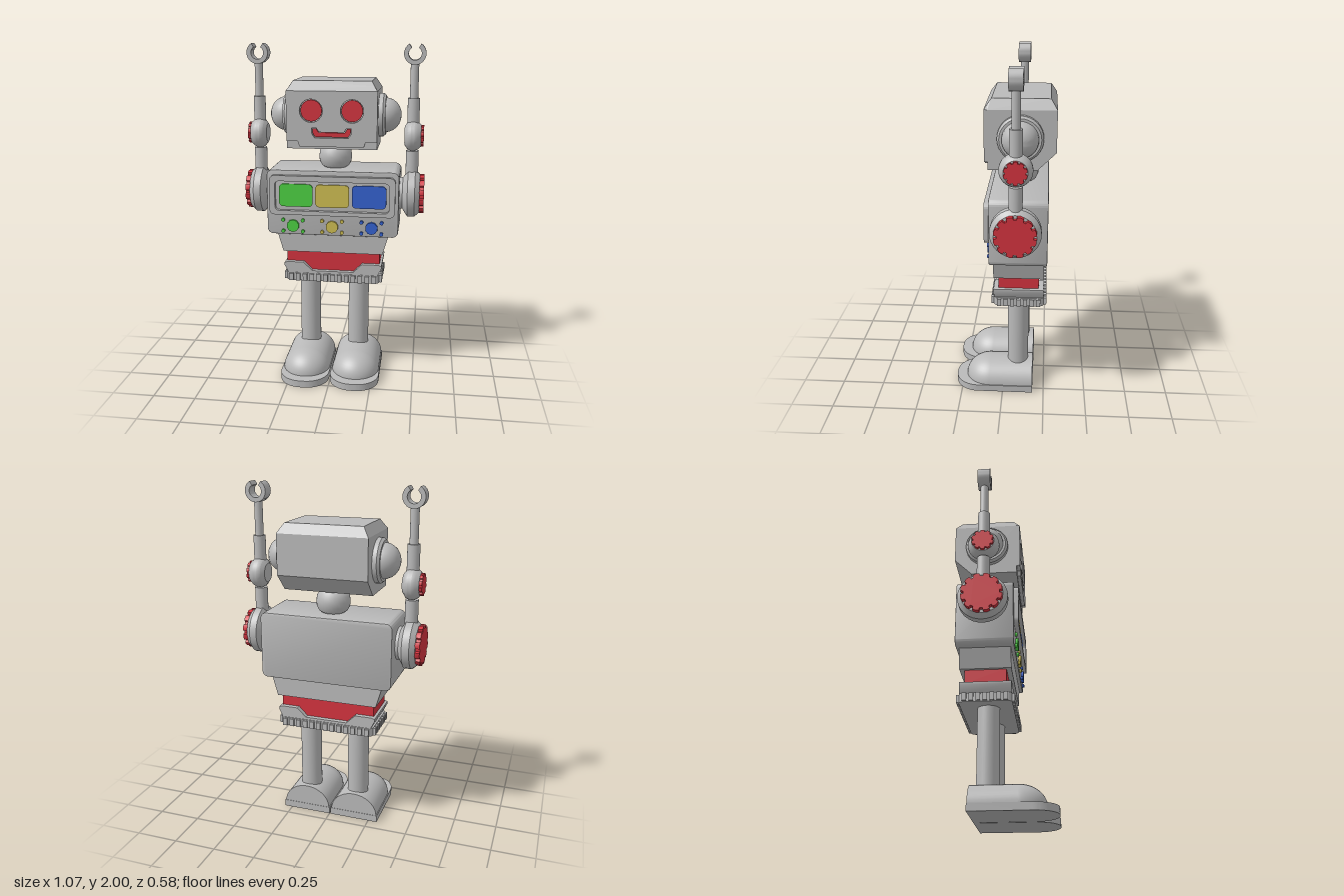
import * as THREE from 'three';
import { toCreasedNormals } from 'three/addons/utils/BufferGeometryUtils.js';
import { ConvexGeometry } from 'three/addons/geometries/ConvexGeometry.js';

const paint = (name, color) => {
  const m = new THREE.MeshStandardMaterial({ color });
  m.name = name;
  return m;
};

export function createModel() {
  const grey = paint('grey', 0xbababa), red = paint('red', 0xd4343f), green = paint('green', 0x4dd243);
  const yellow = paint('yellow', 0xcfbe52), blue = paint('blue', 0x3562d0);
  const robot = new THREE.Group();
  robot.name = 'robot';

  const add = (parent, name, geometry, material, x = 0, y = 0, z = 0) => {
    const mesh = new THREE.Mesh(geometry, material);
    mesh.name = name;
    mesh.position.set(x, y, z);
    parent.add(mesh);
    return mesh;
  };
  const outline = pts => new THREE.Shape(pts.map(p => new THREE.Vector2(...p)));
  // Right half of a symmetric outline, mirrored to the other side
  const mirrored = half => outline([...half, ...half.map(([x, y]) => [-x, y]).reverse()]);
  const circle = (x, y, r) => new THREE.Shape().absarc(x, y, r, 0, Math.PI * 2);
  const roundRect = (x0, x1, y0, y1, r) => {
    const s = new THREE.Shape();
    s.absarc(x1 - r, y0 + r, r, -Math.PI / 2, 0);
    s.absarc(x1 - r, y1 - r, r, 0, Math.PI / 2);
    s.absarc(x0 + r, y1 - r, r, Math.PI / 2, Math.PI);
    s.absarc(x0 + r, y0 + r, r, Math.PI, Math.PI * 1.5);
    return s;
  };
  // Slab of a front outline between two depths, with an optional small bevel
  const slab = (shape, z0, z1, bevel = 0) => {
    const g = new THREE.ExtrudeGeometry(shape, {
      depth: z1 - z0 - 2 * bevel, curveSegments: 12, bevelEnabled: bevel > 0,
      bevelThickness: bevel, bevelSize: bevel, bevelOffset: -bevel, bevelSegments: 2,
    });
    g.translate(0, 0, z0 + bevel);
    return toCreasedNormals(g, 0.6);
  };
  const turned = (pts, segments = 32) =>
    toCreasedNormals(new THREE.LatheGeometry(pts.map(p => new THREE.Vector2(...p)), segments), 0.5);
  const turnedX = pts => turned(pts).rotateZ(-Math.PI / 2);
  // Convex block from [halfWidth, y, z] rows
  const hull = rows => new ConvexGeometry(rows.flatMap(([x, y, z]) =>
    [new THREE.Vector3(x, y, z), new THREE.Vector3(-x, y, z)]));

  // Head: bevelled block with a face plate cut open for eyes and mouth
  const head = new THREE.Group();
  head.name = 'head';
  robot.add(head);
  add(head, 'headBlock', hull([
    [0.225, 1.8, 0.06], [0.225, 1.8, -0.257], [0.24, 1.7725, 0.08], [0.26, 1.745, 0.08],
    [0.26, 1.745, -0.292], [0.26, 1.515, -0.292], [0.26, 1.415, -0.19], [0.26, 1.415, 0.08],
  ]), grey);
  add(head, 'brow', hull([[0.24, 1.7725, 0.08], [0.26, 1.745, 0.08], [0.26, 1.745, 0.1]]), grey);
  const mouth = grow => mirrored([[0.075 - grow, 1.51 + grow], [0.09 - grow, 1.533 + grow],
    [0.11 + grow, 1.533 + grow], [0.108 + grow, 1.503], [0.092 + grow, 1.485 - grow]]);
  const face = mirrored([[0.185, 1.43], [0.195, 1.46], [0.26, 1.46], [0.26, 1.745]]);
  face.holes.push(circle(-0.117, 1.634, 0.066), circle(0.117, 1.634, 0.066), mouth(0.004));
  add(head, 'facePlate', slab(face, 0.08, 0.1), grey);
  add(head, 'mouth', slab(mouth(0), 0.08, 0.089), red);
  for (const s of [-1, 1]) {
    add(head, 'eye', slab(circle(s * 0.117, 1.634, 0.061), 0.08, 0.089), red);
    const ear = add(head, 'ear', turnedX([
      [0.126, 0], [0.126, 0.028], [0.114, 0.042], [0.1, 0.042], [0.098, 0.06], [0.088, 0.083],
      [0.072, 0.104], [0.05, 0.119], [0.026, 0.128], [0, 0.131]]), grey, s * 0.257, 1.595, -0.097);
    if (s < 0) ear.rotation.y = Math.PI;
  }
  add(robot, 'neck', turned([[0.055, 1.275], [0.082, 1.293], [0.096, 1.32], [0.098, 1.35],
    [0.094, 1.38], [0.08, 1.403], [0.055, 1.42]]), grey, 0, 0, -0.096);

  // Torso with framed display and control knobs
  const torso = new THREE.Group();
  torso.name = 'torso';
  robot.add(torso);
  add(torso, 'torsoBox', slab(roundRect(-0.39, 0.39, 0.893, 1.283, 0.035), -0.255, 0.07, 0.006), grey);
  const frame = roundRect(-0.37, 0.37, 1.02, 1.255, 0.03);
  frame.holes.push(roundRect(-0.337, 0.337, 1.045, 1.222, 0.025));
  add(torso, 'displayFrame', slab(frame, 0.07, 0.096), grey);
  [[-0.215, green], [0.001, yellow], [0.218, blue]].forEach(([x, colour], i) => {
    add(torso, 'displayPane', slab(roundRect(x - 0.1, x + 0.1, 1.067, 1.202, 0.025), 0.07, 0.079), colour);
    const kx = (i - 1) * 0.234;
    add(torso, 'knob', new THREE.CylinderGeometry(0.037, 0.037, 0.016, 10).rotateX(Math.PI / 2),
      colour, kx, 0.949, 0.078);
    for (const sx of [-1, 1]) for (const sy of [-1, 1])
      add(torso, 'stud', new THREE.CylinderGeometry(0.011, 0.011, 0.014, 12).rotateX(Math.PI / 2),
        colour, kx + sx * 0.059, 0.949 + sy * 0.034, 0.077);
  });

  // Waist: red core showing through notches in two grey bands
  const waist = new THREE.Group();
  waist.name = 'waist';
  robot.add(waist);
  add(waist, 'waistCore', slab(mirrored([[0.14, 0.655], [0.2, 0.7], [0.282, 0.7],
    [0.282, 0.785], [0.2, 0.785], [0.14, 0.86]]), -0.21, 0.022), red);
  add(waist, 'upperBand', slab(mirrored([[0.172, 0.78], [0.3, 0.78], [0.333, 0.895], [0, 0.895],
    [0, 0.855], [0.122, 0.855]]), -0.238, 0.05), grey);
  add(waist, 'lowerBand', slab(mirrored([[0, 0.643], [0.272, 0.643], [0.295, 0.69], [0.295, 0.705],
    [0.276, 0.712], [0.178, 0.712], [0.125, 0.66], [0, 0.66]]), -0.238, 0.05), grey);
  add(waist, 'hipPlate', slab(roundRect(-0.284, 0.284, -0.052, 0.242, 0.03), -0.025, 0.025)
    .rotateX(-Math.PI / 2), grey, 0, 0.62, 0);
  // Teeth around the rim of the hip plate
  const tooth = (x, z, w, d) => add(waist, 'hipTooth', new THREE.BoxGeometry(w, 0.044, d), grey, x, 0.62, z);
  for (let i = 0; i < 13; i++) {
    const x = (i - 6) * 0.042;
    tooth(x, 0.055, 0.026, 0.022);
    tooth(x, -0.245, 0.026, 0.022);
  }
  for (let i = 0; i < 7; i++) for (const s of [-1, 1]) tooth(s * 0.287, -0.095 + (i - 3) * 0.038, 0.022, 0.024);

  // Legs and feet
  for (const s of [-1, 1]) {
    const leg = new THREE.Group();
    leg.name = s > 0 ? 'leftLeg' : 'rightLeg';
    leg.position.x = s * 0.152 - 0.004;
    robot.add(leg);
    add(leg, 'shin', new THREE.CylinderGeometry(0.063, 0.063, 0.48, 32), grey, 0, 0.37, -0.088);
    const sole = new THREE.Shape();
    sole.moveTo(-0.148, 0.182);
    sole.lineTo(-0.148, -0.155);
    sole.absarc(-0.013, -0.155, 0.135, Math.PI, Math.PI * 1.5);
    sole.absarc(0.013, -0.155, 0.135, Math.PI * 1.5, Math.PI * 2);
    sole.lineTo(0.148, 0.182);
    add(leg, 'sole', slab(sole, 0, 0.042).rotateX(-Math.PI / 2), grey);
    const arch = new THREE.Shape().absellipse(0, 0.04, 0.143, 0.125, 0, Math.PI);
    add(leg, 'heel', slab(arch, -0.18, 0.08), grey);
    add(leg, 'toe', new THREE.SphereGeometry(1, 24, 12, 0, Math.PI, 0, Math.PI / 2), grey, 0, 0.04, 0.08)
      .scale.set(0.143, 0.125, 0.149);
  }

  // Arms: local +x points outward
  const gear = (r, teeth) => {
    const pts = [];
    for (let i = 0; i < teeth; i++)
      for (const [f, k] of [[0.14, 0.86], [0.2, 1], [0.5, 1.02], [0.8, 1], [0.86, 0.86]]) {
        const a = (i + f) / teeth * Math.PI * 2;
        pts.push([r * k * Math.cos(a), r * k * Math.sin(a)]);
      }
    return outline(pts);
  };
  const claw = new THREE.Shape();
  const gap = 0.56, up = Math.PI / 2;
  claw.absarc(0, 0, 0.063, up + gap, up - gap + Math.PI * 2);
  claw.absarc(0, 0, 0.037, up - gap + Math.PI * 2, up + gap, true);

  for (const s of [-1, 1]) {
    const arm = new THREE.Group();
    arm.name = s > 0 ? 'leftArm' : 'rightArm';
    arm.position.set(s * 0.457, 0, s > 0 ? -0.082 : -0.094);
    if (s < 0) arm.rotation.y = Math.PI;
    robot.add(arm);
    add(arm, 'shoulderAxle', new THREE.CylinderGeometry(0.095, 0.095, 0.05, 32).rotateZ(up), grey, -0.058, 1.132);
    add(arm, 'shoulder', turnedX([[0, -0.05], [0.095, -0.05], [0.14, -0.02], [0.14, 0.022],
      [0.116, 0.05], [0, 0.05]]), grey, 0, 1.132);
    add(arm, 'shoulderGear', slab(gear(0.115, 12), 0.045, 0.076).rotateY(up), red, 0, 1.132);
    add(arm, 'upperArm', new THREE.CylinderGeometry(0.037, 0.037, 0.17, 24), grey, 0, 1.305);
    add(arm, 'elbow', turnedX([[0, -0.048], [0.055, -0.048], [0.08, -0.03], [0.09, -0.01],
      [0.09, 0.01], [0.08, 0.03], [0.064, 0.048], [0, 0.048]]), grey, 0, 1.478);
    add(arm, 'elbowGear', slab(gear(0.062, 10), 0.044, 0.064).rotateY(up), red, 0, 1.478);
    add(arm, 'forearm', new THREE.CylinderGeometry(0.035, 0.035, 0.155, 24), grey, 0, 1.618);
    add(arm, 'wrist', new THREE.CylinderGeometry(0.024, 0.024, 0.22, 24), grey, 0, 1.79);
    add(arm, 'claw', slab(claw, -0.037, 0.037), grey, 0, 1.947);
  }
  return robot;
}
